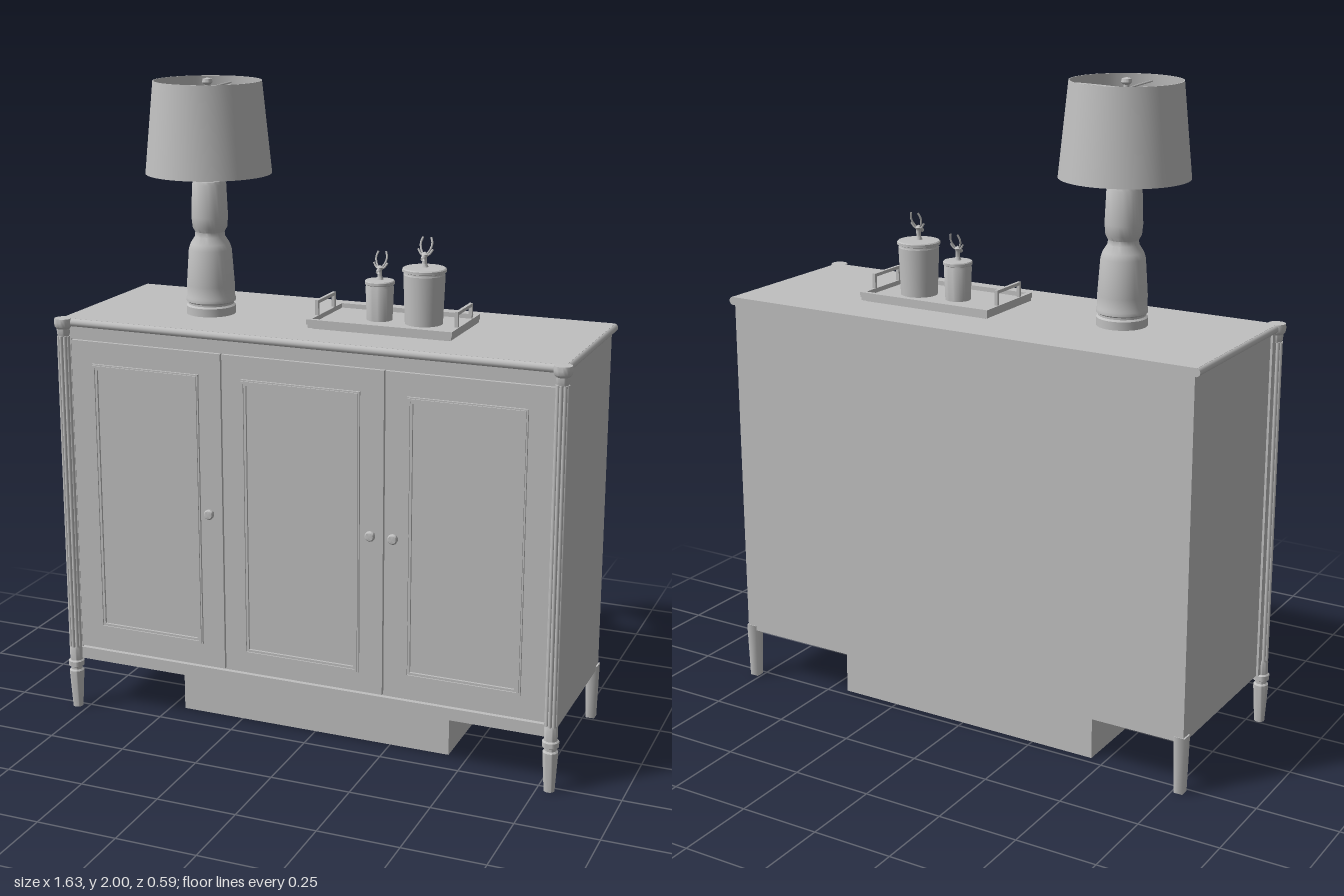
import * as THREE from 'three';
import { toCreasedNormals } from 'three/addons/utils/BufferGeometryUtils.js';

export function createModel() {
  const root = new THREE.Group();
  root.name = 'sideboardWithLamp';
  const grey = new THREE.MeshStandardMaterial({ color: 0xc0c0c0, side: THREE.DoubleSide });
  grey.name = 'plain grey';

  const add = (name, geometry, parent = root) => {
    const mesh = new THREE.Mesh(geometry, grey);
    mesh.name = name;
    parent.add(mesh);
    return mesh;
  };
  const group = (name, x = 0, y = 0, z = 0) => {
    const g = new THREE.Group();
    g.name = name;
    g.position.set(x, y, z);
    root.add(g);
    return g;
  };
  // Box given by its extents
  const box = (name, x0, x1, y0, y1, z0, z1, parent) => {
    const m = add(name, new THREE.BoxGeometry(x1 - x0, y1 - y0, z1 - z0), parent);
    m.position.set((x0 + x1) / 2, (y0 + y1) / 2, (z0 + z1) / 2);
    return m;
  };
  // Turned part from [radius, height] pairs
  const turned = (name, profile, parent, sides = 32) => {
    const geo = new THREE.LatheGeometry(profile.map(([r, y]) => new THREE.Vector2(r, y)), sides);
    return add(name, toCreasedNormals(geo, 0.6), parent);
  };
  const tube = (name, points, radius, parent) => add(name, new THREE.TubeGeometry(
    new THREE.CatmullRomCurve3(points.map(p => new THREE.Vector3(...p))), 12, radius, 8), parent);
  // Rectangular ring lying in the xy plane
  const frame = (w, h, t, depth) => {
    const s = new THREE.Shape();
    s.moveTo(-w / 2, -h / 2).lineTo(w / 2, -h / 2).lineTo(w / 2, h / 2).lineTo(-w / 2, h / 2).closePath();
    const hole = new THREE.Path();
    const a = w / 2 - t, b = h / 2 - t;
    hole.moveTo(-a, -b).lineTo(-a, b).lineTo(a, b).lineTo(a, -b).closePath();
    s.holes.push(hole);
    return new THREE.ExtrudeGeometry(s, { depth, bevelEnabled: false });
  };

  // Cabinet body, with a shallow recess underneath
  box('cabinetBody', -0.785, 0.785, 0.18, 1.257, -0.29, 0.245);
  const rim = add('bottomRim', frame(1.57, 0.535, 0.02, 0.017));
  rim.rotation.x = -Math.PI / 2;
  rim.position.set(0, 0.165, -0.0225);
  box('bottomRail', -0.77, 0.77, 0.165, 0.203, 0.24, 0.262);
  box('topRail', -0.77, 0.77, 1.218, 1.257, 0.24, 0.262);

  // Top board with a rounded front edge
  box('topBoard', -0.793, 0.793, 1.257, 1.282, -0.295, 0.262);
  const edge = add('topFrontEdge', new THREE.CylinderGeometry(0.0125, 0.0125, 1.56, 16));
  edge.rotation.z = Math.PI / 2;
  edge.position.set(0, 1.2695, 0.26);
  for (const s of [-1, 1]) {
    const side = add('topSideEdge', new THREE.CylinderGeometry(0.0125, 0.0125, 0.555, 16));
    side.rotation.x = Math.PI / 2;
    side.position.set(s * 0.79, 1.2695, -0.0175);
  }

  // Front posts with turned feet, square back legs
  for (const s of [-1, 1]) {
    const post = group('frontPost', s * 0.787, 0, 0.268);
    turned('frontLeg', [[0, 0], [0.016, 0], [0.023, 0.115], [0.023, 0.125], [0.018, 0.13], [0.018, 0.138],
      [0.025, 0.142], [0.025, 0.158], [0.02, 0.162], [0.02, 0.2], [0.016, 0.21], [0.016, 1.225],
      [0.02, 1.235], [0.02, 1.25], [0.026, 1.257], [0.028, 1.27], [0.026, 1.282], [0, 1.283]], post);
    for (let i = 0; i < 8; i++) {
      const a = i * Math.PI / 4;
      const reed = add('reed', new THREE.CylinderGeometry(0.006, 0.006, 1.02, 8), post);
      reed.position.set(0.015 * Math.cos(a), 0.717, 0.015 * Math.sin(a));
    }
    box('postBacking', s * 0.78 - 0.012, s * 0.78 + 0.012, 0.165, 1.257, 0.23, 0.258);
    const leg = new THREE.CylinderGeometry(0.0255, 0.02, 0.18, 4);
    leg.rotateY(Math.PI / 4);
    add('backLeg', leg).position.set(s * 0.772, 0.09, -0.274);
  }

  // Three doors with raised mouldings
  const doors = [[-0.767, -0.263, -0.515, 0.36, 0.28], [-0.258, 0.258, -0.005, 0.38, 0.27], [0.263, 0.767, 0.51, 0.36, 0.28]];
  for (const [x0, x1, cx, w, y0] of doors) {
    box('door', x0, x1, 0.208, 1.214, 0.24, 0.258);
    const h = 1.145 - y0, cy = (1.145 + y0) / 2;
    add('doorMoulding', frame(w, h, 0.018, 0.009)).position.set(cx, cy, 0.256);
    add('doorMouldingStep', frame(w - 0.008, h - 0.008, 0.007, 0.013)).position.set(cx, cy, 0.256);
  }
  for (const x of [-0.298, 0.225, 0.296]) {
    const knob = turned('knob', [[0.007, 0], [0.007, 0.014], [0.015, 0.017], [0.016, 0.024], [0.012, 0.029], [0, 0.031]], root, 20);
    knob.rotation.x = Math.PI / 2;
    knob.position.set(x, 0.715, 0.257);
  }

  // Hollow plinth under the cabinet
  const plinth = add('plinth', frame(0.895, 0.385, 0.004, 0.18));
  plinth.rotation.x = -Math.PI / 2;
  plinth.position.set(-0.0075, 0, -0.0325);

  // Table lamp
  const lamp = group('lamp', -0.403, 1.282, 0.022);
  turned('lampBase', [[0, 0], [0.076, 0], [0.076, 0.025], [0.07, 0.03], [0.07, 0.036], [0.076, 0.04], [0.076, 0.05],
    [0.073, 0.056], [0.074, 0.09], [0.066, 0.2], [0.06, 0.218], [0.046, 0.24], [0.045, 0.254], [0.053, 0.268],
    [0.056, 0.3], [0.052, 0.4], [0.048, 0.41], [0.015, 0.412], [0.012, 0.422], [0.02, 0.426], [0.02, 0.436],
    [0.012, 0.44], [0.012, 0.5], [0, 0.502]], lamp);
  turned('lampShade', [[0.192, 0.433], [0.164, 0.71], [0.161, 0.71], [0.189, 0.433], [0.192, 0.433]], lamp, 48);
  for (let i = 0; i < 4; i++) {
    const a = i * Math.PI / 2, c = Math.cos(a), s = Math.sin(a);
    tube('shadeArm', [[0, 0.685, 0], [0.08 * c, 0.688, 0.08 * s], [0.164 * c, 0.69, 0.164 * s]], 0.003, lamp);
  }
  tube('harp', [[-0.012, 0.46, 0], [-0.055, 0.54, 0], [-0.045, 0.64, 0], [0, 0.682, 0],
    [0.045, 0.64, 0], [0.055, 0.54, 0], [0.012, 0.46, 0]], 0.003, lamp);
  turned('finial', [[0, 0.675], [0.022, 0.677], [0.022, 0.687], [0.009, 0.69], [0.009, 0.697], [0.016, 0.704], [0.014, 0.714], [0, 0.718]], lamp, 20);

  // Serving tray with a raised rim and handles
  const tray = group('tray', 0.188, 1.282, -0.006);
  box('trayFloor', -0.225, 0.225, 0.004, 0.016, -0.13, 0.13, tray);
  const trayRim = add('trayRim', frame(0.456, 0.266, 0.014, 0.016), tray);
  trayRim.rotation.x = -Math.PI / 2;
  trayRim.position.y = 0.014;
  const trayFoot = add('trayFoot', frame(0.43, 0.24, 0.015, 0.014), tray);
  trayFoot.rotation.x = -Math.PI / 2;
  for (const s of [-1, 1]) {
    const x = s * 0.22;
    box('handleBar', x - 0.005, x + 0.005, 0.066, 0.076, -0.07, 0.07, tray);
    for (const z of [-0.065, 0.065]) box('handlePost', x - 0.005, x + 0.005, 0.028, 0.07, z - 0.005, z + 0.005, tray);
  }

  // Two lidded jars with antler-like sprigs
  for (const [x, r, h, k] of [[0.14, 0.045, 0.122, 1], [0.281, 0.066, 0.17, 1.05]]) {
    const jar = group('jar', x, 1.296, -0.014);
    turned('jarBody', [[0, 0], [r * 0.86, 0], [r * 0.95, h - 0.02], [r * 0.92, h - 0.017], [r * 0.92, h - 0.013],
      [r, h - 0.011], [r, h - 0.003], [r * 0.95, h], [0, h + 0.003]], jar);
    const sprig = new THREE.Group();
    sprig.name = 'sprig';
    sprig.position.y = h;
    sprig.scale.setScalar(k);
    jar.add(sprig);
    turned('sprigStem', [[0.012, 0], [0.007, 0.012], [0.007, 0.03], [0.011, 0.038], [0, 0.046]], sprig, 12);
    tube('snout', [[0, 0.036, -0.004], [0, 0.032, 0.01], [0, 0.026, 0.02]], 0.006, sprig);
    for (const s of [-1, 1]) {
      tube('horn', [[s * 0.004, 0.036, 0], [s * 0.014, 0.052, -0.008], [s * 0.017, 0.068, -0.014], [s * 0.012, 0.084, -0.02]], 0.003, sprig);
      tube('twig', [[s * 0.006, 0.034, 0], [s * 0.014, 0.04, -0.003], [s * 0.022, 0.052, -0.006]], 0.003, sprig);
    }
  }
  return root;
}
